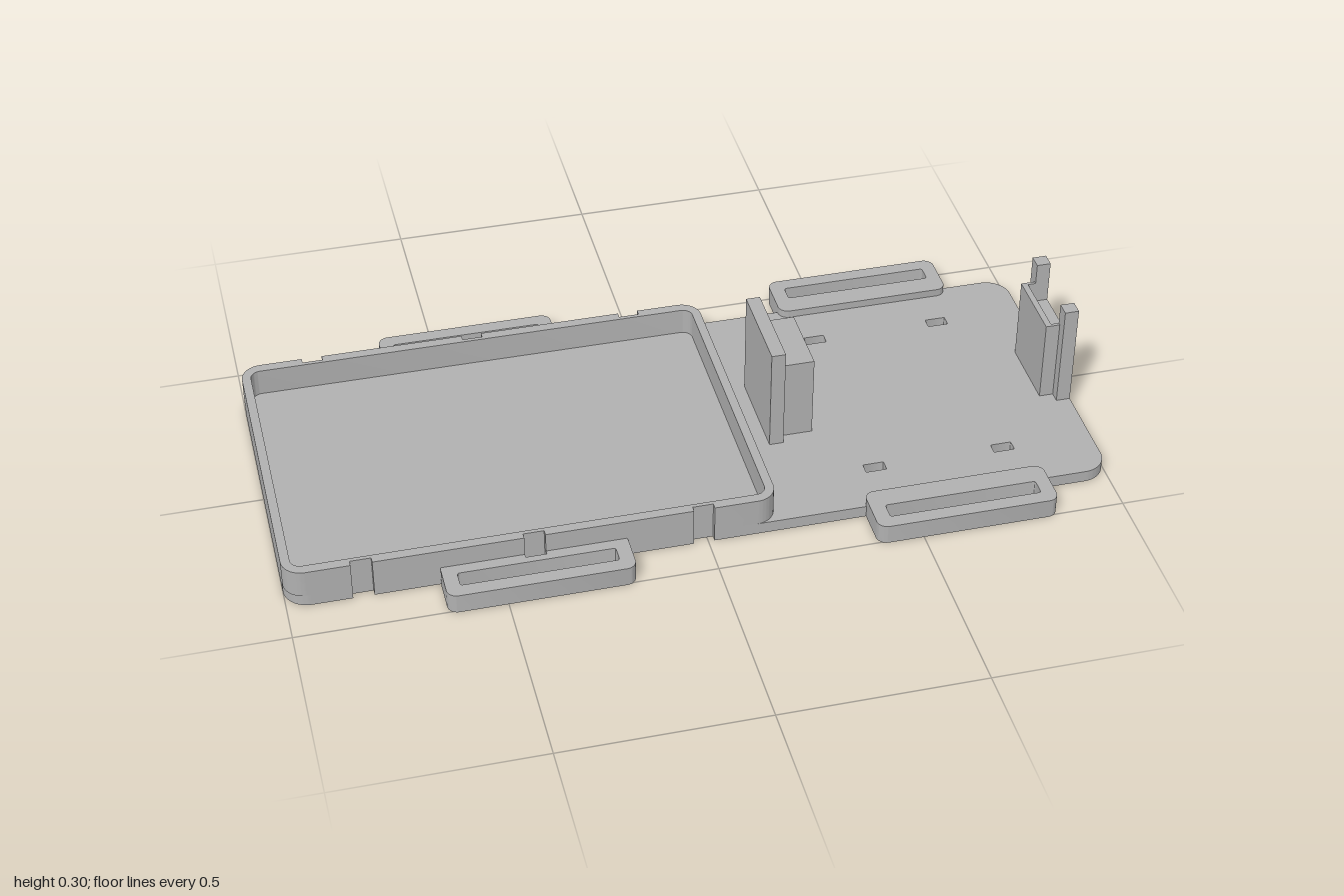
import * as THREE from 'three';
import { toCreasedNormals } from 'three/addons/utils/BufferGeometryUtils.js';

const grey = new THREE.MeshStandardMaterial({ color: 0xb0b0b0 });
grey.name = 'grey plastic';

const NOTCHES = [-0.82, -0.415, -0.01];
const NW = 0.025; // half width of a notch

// Rounded rectangle with optional square notches cut in from the y0 and y1 sides
function outline(x0, x1, y0, y1, r, { low = [], high = [], depth = 0.015, Type = THREE.Shape } = {}) {
  const s = new Type();
  s.moveTo(x0 + r, y0);
  for (const n of low) {
    s.lineTo(n - NW, y0); s.lineTo(n - NW, y0 + depth);
    s.lineTo(n + NW, y0 + depth); s.lineTo(n + NW, y0);
  }
  s.lineTo(x1 - r, y0);
  s.absarc(x1 - r, y0 + r, r, -Math.PI / 2, 0);
  s.lineTo(x1, y1 - r);
  s.absarc(x1 - r, y1 - r, r, 0, Math.PI / 2);
  for (const n of [...high].reverse()) {
    s.lineTo(n + NW, y1); s.lineTo(n + NW, y1 - depth);
    s.lineTo(n - NW, y1 - depth); s.lineTo(n - NW, y1);
  }
  s.lineTo(x0 + r, y1);
  s.absarc(x0 + r, y1 - r, r, Math.PI / 2, Math.PI);
  s.lineTo(x0, y0 + r);
  s.absarc(x0 + r, y0 + r, r, Math.PI, Math.PI * 1.5);
  return s;
}

const hole = (x0, x1, y0, y1, r) => outline(x0, x1, y0, y1, r, { Type: THREE.Path });

export function createModel() {
  const model = new THREE.Group();
  model.name = 'batteryTray';

  function add(name, geometry) {
    const m = new THREE.Mesh(geometry, grey);
    m.name = name;
    model.add(m);
    return m;
  }
  // Flat shape raised from yBottom to yTop
  function slab(name, shape, yBottom, yTop) {
    const g = new THREE.ExtrudeGeometry(shape, { depth: yTop - yBottom, bevelEnabled: false, curveSegments: 8 });
    g.rotateX(-Math.PI / 2).translate(0, yBottom, 0);
    return add(name, toCreasedNormals(g, 0.6));
  }
  function box(name, x0, x1, y0, y1, z0, z1) {
    const g = new THREE.BoxGeometry(x1 - x0, y1 - y0, z1 - z0);
    return add(name, g.translate((x0 + x1) / 2, (y0 + y1) / 2, (z0 + z1) / 2));
  }

  // Base plate in two layers: the lower one holds the two underside recesses
  function plateShape() {
    const s = outline(-1, 1, -0.4, 0.4, 0.06, { low: NOTCHES, high: NOTCHES });
    for (const x of [0.45, 0.775])
      for (const z of [-0.263, 0.263])
        s.holes.push(hole(x - 0.026, x + 0.026, z - 0.014, z + 0.014, 0.003));
    return s;
  }
  const lower = plateShape();
  for (const x of [-0.12, -0.72]) lower.holes.push(hole(x - 0.2, x + 0.2, -0.2, 0.2, 0.05));
  slab('basePlateUnderside', lower, 0, 0.02);
  slab('basePlate', plateShape(), 0.02, 0.03);

  // Tray rim
  const rim = outline(-1, 0.17, -0.4, 0.4, 0.05, { low: NOTCHES, high: NOTCHES });
  rim.holes.push(hole(-0.978, 0.148, -0.375, 0.375, 0.025));
  slab('trayRim', rim, 0.03, 0.1);

  // Strap loops on both long sides
  for (const side of [1, -1]) {
    const label = side > 0 ? 'Front' : 'Back';
    const a = side > 0 ? [-0.505, -0.385] : [0.385, 0.505];
    const cut = side > 0 ? { high: [-0.415] } : { low: [-0.415] };
    const h = side > 0 ? [-0.47, -0.428] : [0.428, 0.47];
    const trayLoop = outline(-0.64, -0.195, a[0], a[1], 0.025, { ...cut, depth: 0.025 });
    trayLoop.holes.push(hole(-0.605, -0.23, h[0], h[1], 0.006));
    slab('trayStrapLoop' + label, trayLoop, 0, 0.05);

    const b = side > 0 ? [-0.505, -0.372] : [0.372, 0.505];
    const plateLoop = outline(0.388, 0.835, b[0], b[1], 0.025);
    plateLoop.holes.push(hole(0.425, 0.8, h[0], h[1], 0.006));
    slab('plateStrapLoop' + label, plateLoop, 0, 0.05);
  }

  // Middle clamp: tall plate with a lower block
  box('middleClampPlate', 0.225, 0.26, 0.03, 0.3, -0.12, 0.12);
  box('middleClampBlock', 0.26, 0.34, 0.03, 0.245, -0.093, 0.093);

  // End clamp: plate with an open cut-out between two posts, and a thin inner block
  box('endClampPlate', 0.965, 1, 0, 0.19, -0.12, 0.12);
  box('endClampBlock', 0.945, 0.965, 0.03, 0.19, -0.093, 0.093);
  box('endClampLip', 0.93, 0.945, 0.03, 0.245, -0.093, 0.093);
  for (const s of [1, -1]) {
    const z = [0.085 * s, 0.12 * s].sort((p, q) => p - q);
    box('endClampPost', 0.965, 1, 0.19, 0.3, z[0], z[1]);
    const w = [0.085 * s, 0.093 * s].sort((p, q) => p - q);
    box('endClampCheek', 0.945, 0.965, 0.19, 0.245, w[0], w[1]);
  }
  return model;
}
